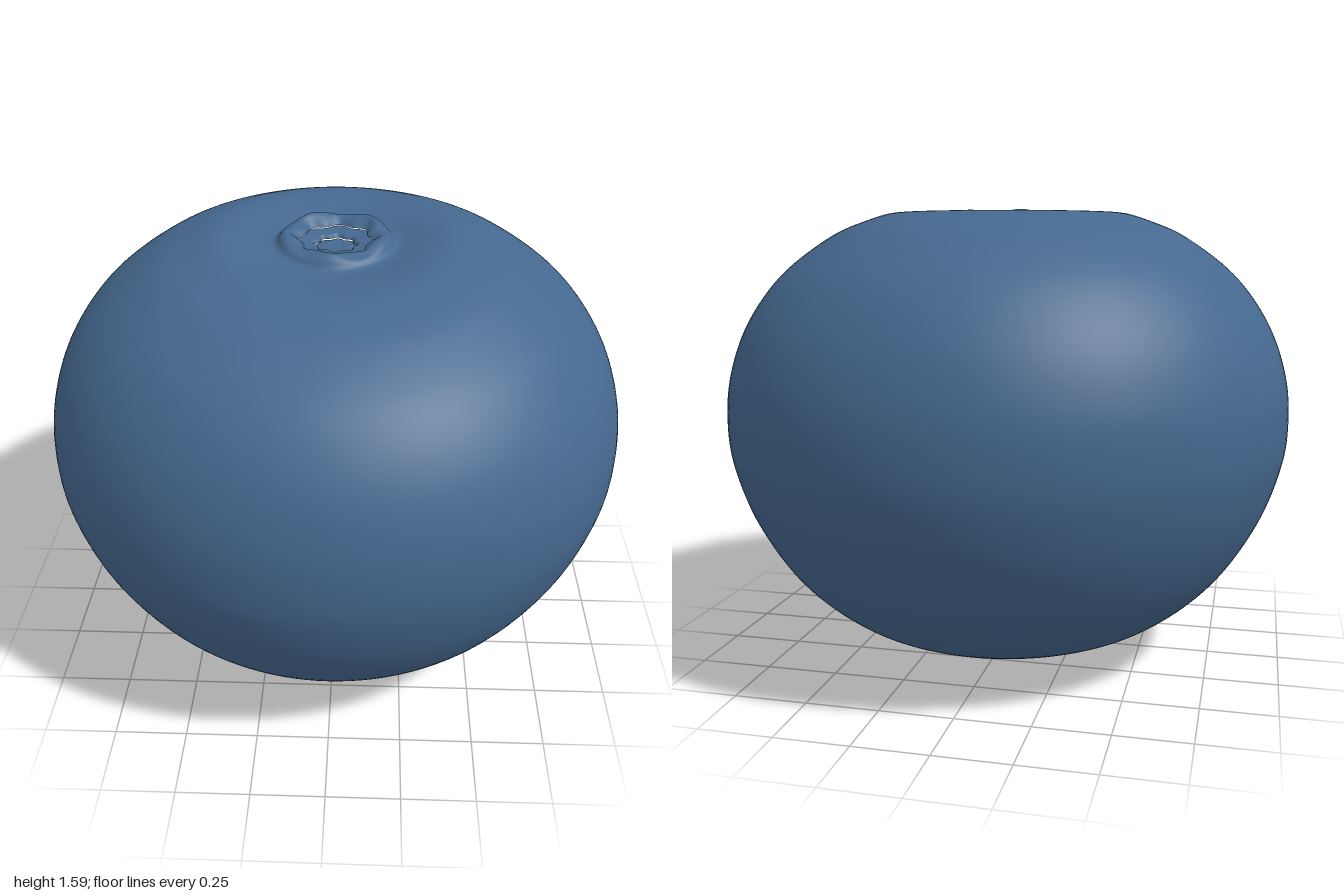
import * as THREE from 'three';
import { mergeVertices } from 'three/addons/utils/BufferGeometryUtils.js';

const smooth = THREE.MathUtils.smoothstep;

// Revolve a smooth profile (listed bottom/outside to top/centre), then bend it by a rule.
function revolved(points, steps, bend) {
  const curve = new THREE.SplineCurve(points.map(([r, y]) => new THREE.Vector2(r, y)));
  const profile = curve.getPoints(steps);
  profile.forEach(p => { p.x = Math.max(p.x, 0); });
  let geo = new THREE.LatheGeometry(profile, 128);
  geo.deleteAttribute('uv');
  geo.deleteAttribute('normal');
  const pos = geo.attributes.position;
  const v = new THREE.Vector3();
  for (let i = 0; i < pos.count; i++) {
    v.fromBufferAttribute(pos, i);
    bend(v, Math.hypot(v.x, v.z), Math.atan2(v.x, v.z));
    pos.setXYZ(i, v.x, v.y, v.z);
  }
  geo = mergeVertices(geo, 1e-5);
  geo.computeVertexNormals();
  return geo;
}

// The crown end sags a little towards the front.
function sag(v, r, a) {
  if (v.y < 0.85) return;
  const front = Math.max(0, Math.cos(a)) ** 1.5;
  const w = smooth(r, 0.08, 0.36) * (1 - smooth(r, 0.42, 1));
  v.y -= 0.045 * front * w;
}

// Eight soft lobes around the crown.
function lobes(v, r, a, amount) {
  const k = 1 + amount * Math.cos(8 * a + 0.4) + amount * 0.3 * Math.sin(3 * a);
  v.x *= k;
  v.z *= k;
}

export function createModel() {
  const model = new THREE.Group();
  const blue = new THREE.MeshStandardMaterial({ color: 0x45688f });
  blue.name = 'berryBlue';
  const add = (name, geo) => {
    const mesh = new THREE.Mesh(geo, blue);
    mesh.name = name;
    model.add(mesh);
  };

  // Round body with a dimple below and a shallow basin with a raised ring on top
  add('berrySkin', revolved([
    [0, 0.05], [0.04, 0.042], [0.09, 0.012], [0.16, 0.001], [0.22, 0.008],
    [0.4, 0.065], [0.6, 0.155], [0.78, 0.31], [0.91, 0.51], [0.98, 0.7],
    [1, 0.85], [0.985, 1.02], [0.92, 1.2], [0.8, 1.365], [0.63, 1.495],
    [0.5, 1.553], [0.4, 1.58], [0.31, 1.572], [0.23, 1.55], [0.2, 1.55],
    [0.18, 1.568], [0.155, 1.574], [0.135, 1.566], [0.12, 1.552],
  ], 180, (v, r, a) => {
    sag(v, r, a);
    if (v.y > 1) {
      // Uneven lift of the ring, highest at the back
      const ring = Math.exp(-(((r - 0.165) / 0.025) ** 2));
      v.y += ring * (0.008 * Math.cos(5 * a + 0.5) - 0.006 * Math.cos(a) + 0.004);
      lobes(v, r, a, 0.07 * (1 - smooth(r, 0.12, 0.18)));
    }
  }));

  // Scalloped step inside the ring
  add('crownStep', revolved([
    [0.13, 1.535], [0.127, 1.546], [0.115, 1.55], [0.095, 1.545], [0.075, 1.542], [0.066, 1.53],
  ], 24, (v, r, a) => lobes(v, r, a, 0.07)));

  // Small scalloped cup at the centre
  add('crownCup', revolved([
    [0.075, 1.522], [0.06, 1.528], [0.04, 1.53], [0.02, 1.527], [0, 1.526],
  ], 16, (v, r, a) => lobes(v, r, a, 0.07)));

  return model;
}
